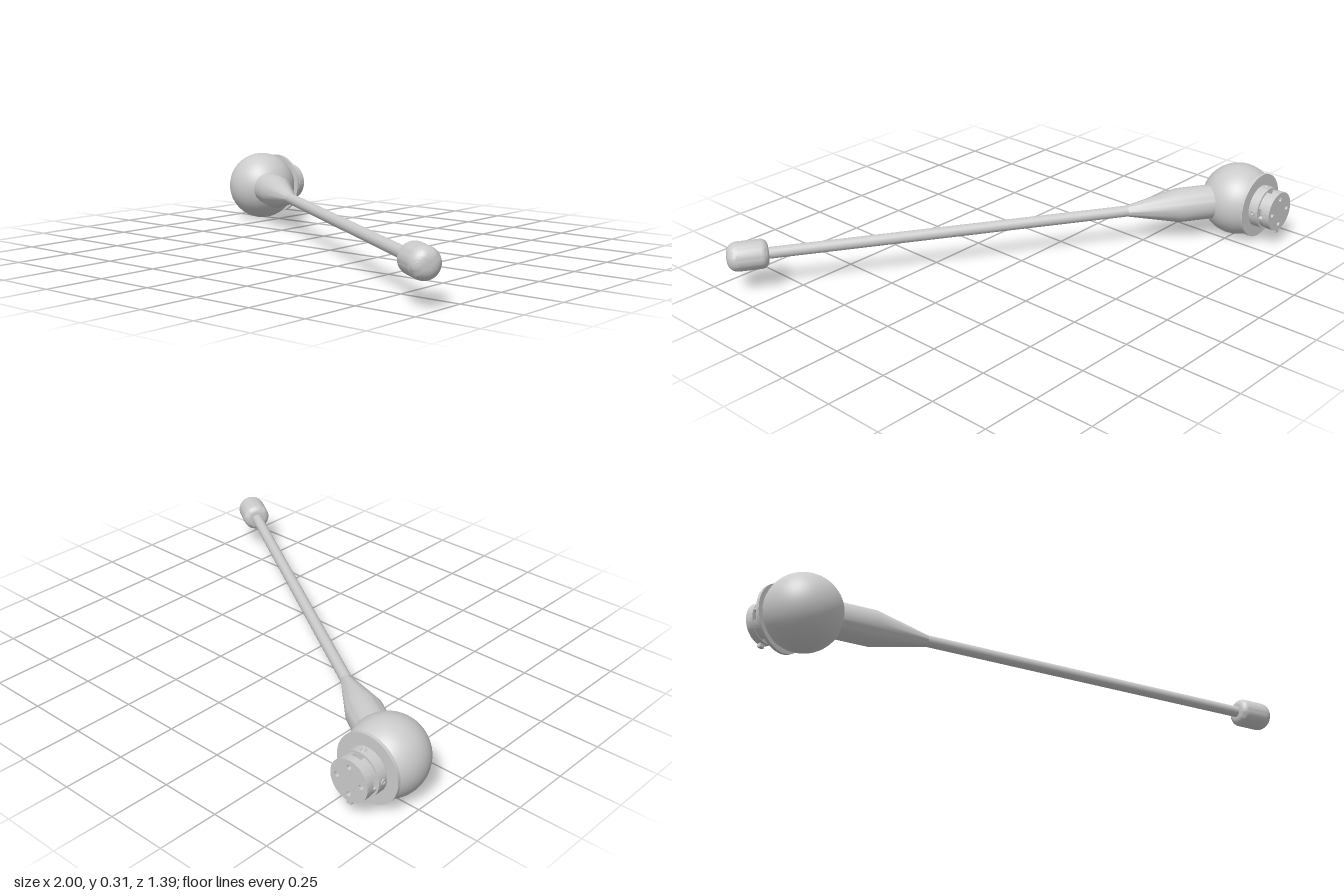
import * as THREE from 'three';
import { toCreasedNormals } from 'three/addons/utils/BufferGeometryUtils.js';

const material = new THREE.MeshStandardMaterial({ color: 0xcccccc });

function add(parent, name, geometry) {
  const mesh = new THREE.Mesh(geometry, material);
  mesh.name = name;
  parent.add(mesh);
  return mesh;
}

// Solid of revolution around y from [radius, height] pairs
function turned(points, segments = 48) {
  const profile = points.map(([r, y]) => new THREE.Vector2(r, y));
  return toCreasedNormals(new THREE.LatheGeometry(profile, segments), 0.6);
}

// Disc extruded from z0 to z1, with optional round holes [x, y, r]
function plate(shape, z0, z1, holes = []) {
  for (const [x, y, r] of holes) {
    shape.holes.push(new THREE.Path().absarc(x, y, r, 0, Math.PI * 2, true));
  }
  const g = new THREE.ExtrudeGeometry(shape, { depth: z1 - z0, bevelEnabled: false, curveSegments: 48 });
  g.translate(0, 0, z0);
  return toCreasedNormals(g, 0.6);
}

const disc = (r) => new THREE.Shape().absarc(0, 0, r, 0, Math.PI * 2);

// Circle with four slots cut into its rim
function slottedDisc(r, inner, halfAngle) {
  const s = new THREE.Shape();
  for (let i = 0; i < 4; i++) {
    const a = i * Math.PI / 2;
    s.absarc(0, 0, inner, a - halfAngle, a + halfAngle, false);
    s.absarc(0, 0, r, a + halfAngle, a + Math.PI / 2 - halfAngle, false);
  }
  s.closePath();
  return s;
}

export function createModel() {
  const model = new THREE.Group();
  model.name = 'gooseneckWand';
  const body = new THREE.Group();
  body.name = 'body';
  body.position.set(-0.847, 0.157, -0.49);
  model.add(body);

  // Ball housing, cut flat behind the flange
  const R = 0.154;
  const cut = Math.acos(0.11 / R);
  const ball = add(body, 'ballHousing',
    new THREE.SphereGeometry(R, 48, 32, 0, Math.PI * 2, cut, Math.PI - cut));
  ball.rotation.x = -Math.PI / 2;

  // Arm, built along y and swung forward to the left
  const arm = new THREE.Group();
  arm.name = 'arm';
  arm.quaternion.setFromUnitVectors(
    new THREE.Vector3(0, 1, 0), new THREE.Vector3(0.847, 0, 0.532).normalize());
  body.add(arm);

  add(arm, 'taperedCollar', turned([[0, 0.09], [0.073, 0.09], [0.073, 0.28], [0.0235, 0.507], [0, 0.507]]));
  const rod = add(arm, 'rod', new THREE.CylinderGeometry(0.0235, 0.0235, 1.53, 24));
  rod.position.y = 1.265;

  // Rounded tip
  const tip = [[0, 2.003], [0.03, 2.003]];
  for (let i = 0; i <= 6; i++) {
    const a = (i / 6) * Math.PI / 2;
    tip.push([0.03 + 0.03 * Math.sin(a), 2.033 - 0.03 * Math.cos(a)]);
  }
  for (let i = 0; i <= 8; i++) {
    const a = (i / 8) * Math.PI / 2;
    tip.push([0.015 + 0.045 * Math.cos(a), 2.122 + 0.045 * Math.sin(a)]);
  }
  tip.push([0, 2.168]);
  add(arm, 'roundedTip', turned(tip, 36));

  // Rear connector; local +z points backwards
  const connector = new THREE.Group();
  connector.name = 'connector';
  connector.rotation.y = Math.PI;
  body.add(connector);

  add(connector, 'flange', plate(disc(0.138), 0.1, 0.113));
  add(connector, 'base', plate(disc(0.09), 0.113, 0.155));
  add(connector, 'slottedNeck', plate(slottedDisc(0.081, 0.062, 0.27), 0.155, 0.177));

  // Plug face with four contact sockets
  const sockets = [0, 1, 2, 3].map((i) => {
    const a = i * Math.PI / 2;
    return [0.055 * Math.cos(a), 0.055 * Math.sin(a), 0.01];
  });
  add(connector, 'plugFace', plate(disc(0.084), 0.177, 0.208, sockets));

  // Locking key below the plug
  const key = add(connector, 'lockingKey', new THREE.BoxGeometry(0.022, 0.03, 0.016));
  key.position.set(0, -0.084, 0.197);

  // Screw rings around the base
  for (let i = 0; i < 4; i++) {
    const a = i * Math.PI / 2;
    const ring = add(connector, 'screwRing', new THREE.TorusGeometry(0.009, 0.003, 8, 20));
    ring.position.set(0.09 * Math.cos(a), 0.09 * Math.sin(a), 0.134);
    ring.quaternion.setFromUnitVectors(
      new THREE.Vector3(0, 0, 1), new THREE.Vector3(Math.cos(a), Math.sin(a), 0));
  }
  return model;
}
